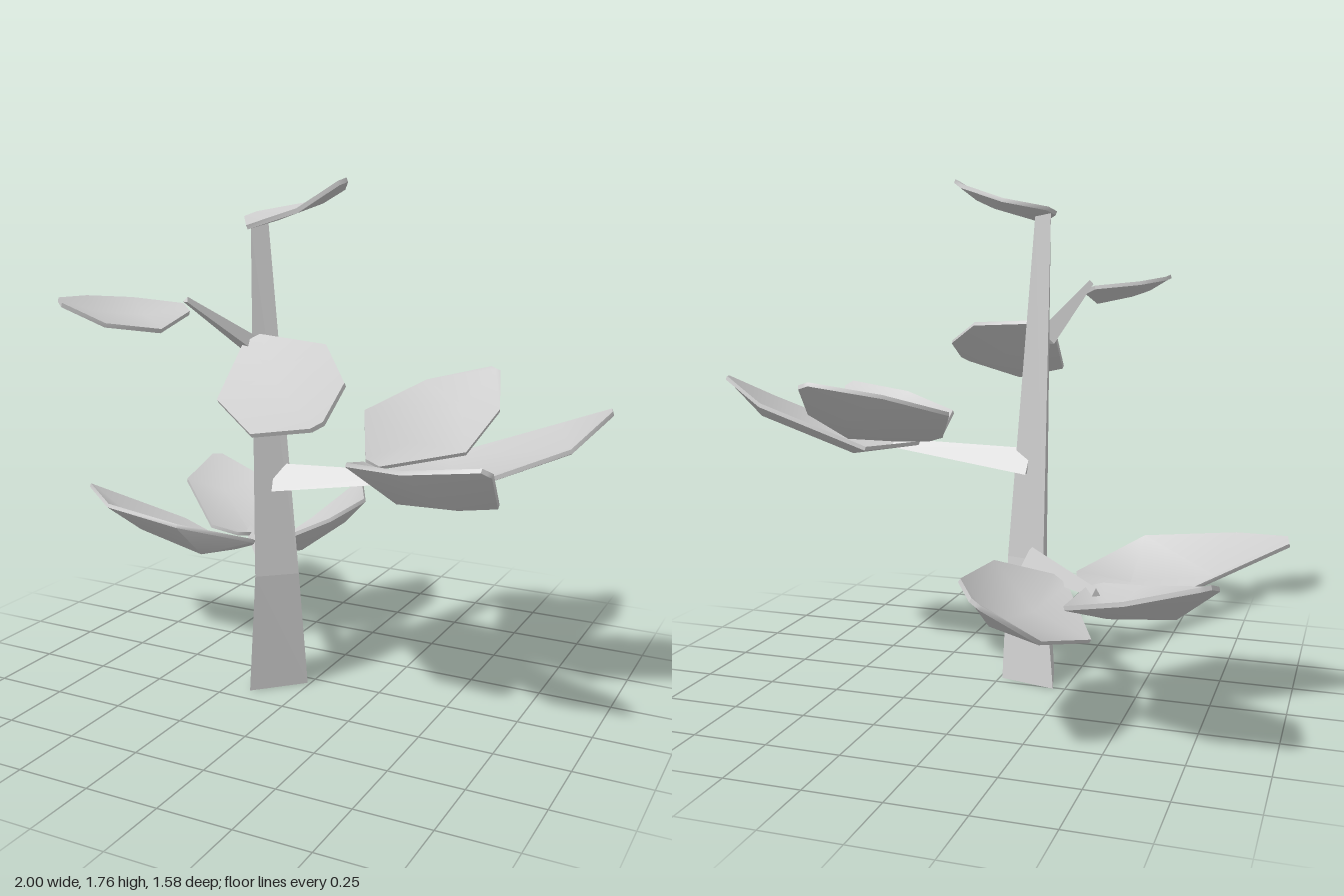
import * as THREE from 'three';
import { toCreasedNormals } from 'three/addons/utils/BufferGeometryUtils.js';

const V = (p) => new THREE.Vector3(...p);
const smooth = new THREE.MeshStandardMaterial({ color: 0xcccccc });
const flat = new THREE.MeshStandardMaterial({ color: 0xcccccc, flatShading: true });

function indexed(points, index) {
  const g = new THREE.BufferGeometry();
  g.setAttribute('position', new THREE.Float32BufferAttribute(points.flatMap((p) => p.toArray()), 3));
  g.setIndex(index);
  return g;
}

function named(name, geometry, material) {
  const m = new THREE.Mesh(geometry, material);
  m.name = name;
  return m;
}

// Closed three-sided loft through rings of three points
function loft(rings) {
  const index = [0, 2, 1];
  for (let i = 0; i < rings.length - 1; i++) {
    for (let k = 0; k < 3; k++) {
      const a = i * 3 + k, b = i * 3 + (k + 1) % 3;
      index.push(a, b, a + 3, b, b + 3, a + 3);
    }
  }
  const t = (rings.length - 1) * 3;
  index.push(t, t + 1, t + 2);
  const g = indexed(rings.flat(), index).toNonIndexed();
  g.computeVertexNormals();
  return g;
}

// Tapered three-sided branch with one ridge facing up
function branch(from, to, r0, r1) {
  const a = V(from), b = V(to);
  const d = b.clone().sub(a).normalize();
  const u = new THREE.Vector3(0, 1, 0).cross(d).normalize();
  const v = d.clone().cross(u);
  const ring = (c, r) => [0, 1, 2].map((k) => {
    const t = Math.PI / 2 + k * Math.PI * 2 / 3;
    return c.clone().addScaledVector(u, r * Math.cos(t)).addScaledVector(v, r * Math.sin(t));
  });
  return loft([ring(a, r0), ring(b, r1)]);
}

// Thin cupped leaf: base, two points along each edge, tip; the midrib sinks by depth
function leaf({ base, sideA, sideB, tip, depth }) {
  const s = V(base), e = V(tip);
  let A = sideA.map(V), B = sideB.map(V);
  const along = e.clone().sub(s);
  const normal = along.clone().cross(B[0].clone().sub(A[0])).normalize();
  if (normal.y < 0) {
    [A, B] = [B, A];
    normal.negate();
  }
  const across = normal.clone().cross(along).normalize();
  const end = (c, w) => [c.clone().addScaledVector(across, -w), c.clone(), c.clone().addScaledVector(across, w)];
  const row = (i) => [A[i], A[i].clone().lerp(B[i], 0.5).addScaledVector(normal, -depth), B[i]];
  const top = [end(s, 0.03), row(0), row(1), end(e, 0.02)].flat();
  const bottom = top.map((p) => p.clone().addScaledVector(normal, -0.014));
  const n = top.length, index = [];
  for (let i = 0; i < 3; i++) {
    for (let j = 0; j < 2; j++) {
      const a = i * 3 + j, b = a + 1, c = a + 3, d = a + 4;
      // split each panel away from the midrib so both halves mirror
      const tris = j === 0 ? [[a, c, d], [a, d, b]] : [[a, c, b], [b, c, d]];
      for (const [p, q, r] of tris) index.push(p, q, r, p + n, r + n, q + n);
    }
  }
  // rim, running around the outline
  const loop = [0, 3, 6, 9, 10, 11, 8, 5, 2, 1];
  loop.forEach((p, k) => {
    const q = loop[(k + 1) % loop.length];
    index.push(p, p + n, q, q, p + n, q + n);
  });
  return toCreasedNormals(indexed(top.concat(bottom), index), 0.9);
}

export function createModel() {
  const model = new THREE.Group();
  model.name = 'plant';

  // Trunk: bent, tapering, three-sided
  model.add(named('trunk', loft([
    [[-0.21, 0, -0.01], [-0.16, 0, 0.19], [-0.01, 0, 0.04]],
    [[-0.15, 0.43, 0.07], [-0.125, 0.43, 0.205], [-0.01, 0.43, 0.105]],
    [[-0.15, 1.63, 0.14], [-0.135, 1.6, 0.19], [-0.09, 1.62, 0.155]],
  ].map((ring) => ring.map(V))), flat));

  // Branches
  model.add(named('lowerBranch', branch([-0.1, 0.42, 0.09], [-0.42, 0.43, -0.27], 0.055, 0.018), flat));
  model.add(named('middleBranch', branch([-0.08, 0.76, 0.13], [0.42, 0.815, 0.095], 0.058, 0.02), flat));
  model.add(named('upperBranch', branch([-0.12, 1.2, 0.17], [-0.215, 1.39, 0.455], 0.04, 0.012), flat));

  // Leaves
  const leaves = {
    lowerOuterLeaf: {
      base: [-0.32, 0.44, -0.13], tip: [-0.99, 0.595, -0.045], depth: 0.06,
      sideA: [[-0.5, 0.54, 0.11], [-0.81, 0.575, 0.1]],
      sideB: [[-0.44, 0.38, -0.2], [-0.69, 0.45, -0.23]],
    },
    lowerMiddleLeaf: {
      base: [-0.4, 0.44, -0.2], tip: [-0.82, 0.6, -0.69], depth: 0.06,
      sideA: [[-0.55, 0.45, -0.2], [-0.83, 0.54, -0.465]],
      sideB: [[-0.375, 0.45, -0.5], [-0.59, 0.53, -0.67]],
    },
    lowerBackLeaf: {
      base: [-0.27, 0.43, -0.14], tip: [-0.2, 0.525, -0.785], depth: 0.05,
      sideA: [[-0.085, 0.515, -0.28], [-0.07, 0.525, -0.56]],
      sideB: [[-0.43, 0.31, -0.365], [-0.35, 0.385, -0.65]],
    },
    middleOuterLeaf: {
      base: [0.32, 0.83, 0.1], tip: [0.99, 1.06, -0.075], depth: 0.05,
      sideA: [[0.42, 0.84, -0.15], [0.8, 0.98, -0.19]],
      sideB: [[0.64, 0.85, 0.22], [0.92, 0.97, 0.13]],
    },
    middleBackLeaf: {
      base: [0.26, 0.85, 0.1], tip: [0.47, 1.09, -0.505], depth: 0.05,
      sideA: [[0.12, 0.97, -0.14], [0.25, 1.05, -0.39]],
      sideB: [[0.51, 0.87, -0.1], [0.55, 0.98, -0.32]],
    },
    middleFrontLeaf: {
      base: [0.27, 0.85, 0.13], tip: [0.8, 0.98, 0.535], depth: 0.05,
      sideA: [[0.29, 0.91, 0.36], [0.55, 0.955, 0.545]],
      sideB: [[0.6, 0.77, 0.2], [0.77, 0.83, 0.33]],
    },
    upperFrontLeaf: {
      base: [-0.12, 1.25, 0.22], tip: [0.345, 1.09, 0.67], depth: 0.008,
      sideA: [[-0.12, 1.085, 0.44], [0.1, 1.03, 0.615]],
      sideB: [[0.16, 1.25, 0.24], [0.315, 1.17, 0.43]],
    },
    upperBranchLeaf: {
      base: [-0.21, 1.37, 0.46], tip: [-0.44, 1.41, 0.78], depth: 0.008,
      sideA: [[-0.39, 1.395, 0.49], [-0.46, 1.41, 0.63]],
      sideB: [[-0.2, 1.32, 0.615], [-0.31, 1.345, 0.74]],
    },
    crownLeaf: {
      base: [-0.15, 1.645, 0.165], tip: [0.24, 1.755, 0.295], depth: 0.008,
      sideA: [[0, 1.68, 0.075], [0.18, 1.735, 0.16]],
      sideB: [[-0.08, 1.615, 0.315], [0.12, 1.67, 0.36]],
    },
  };
  for (const [name, spec] of Object.entries(leaves)) model.add(named(name, leaf(spec), smooth));

  return model;
}
